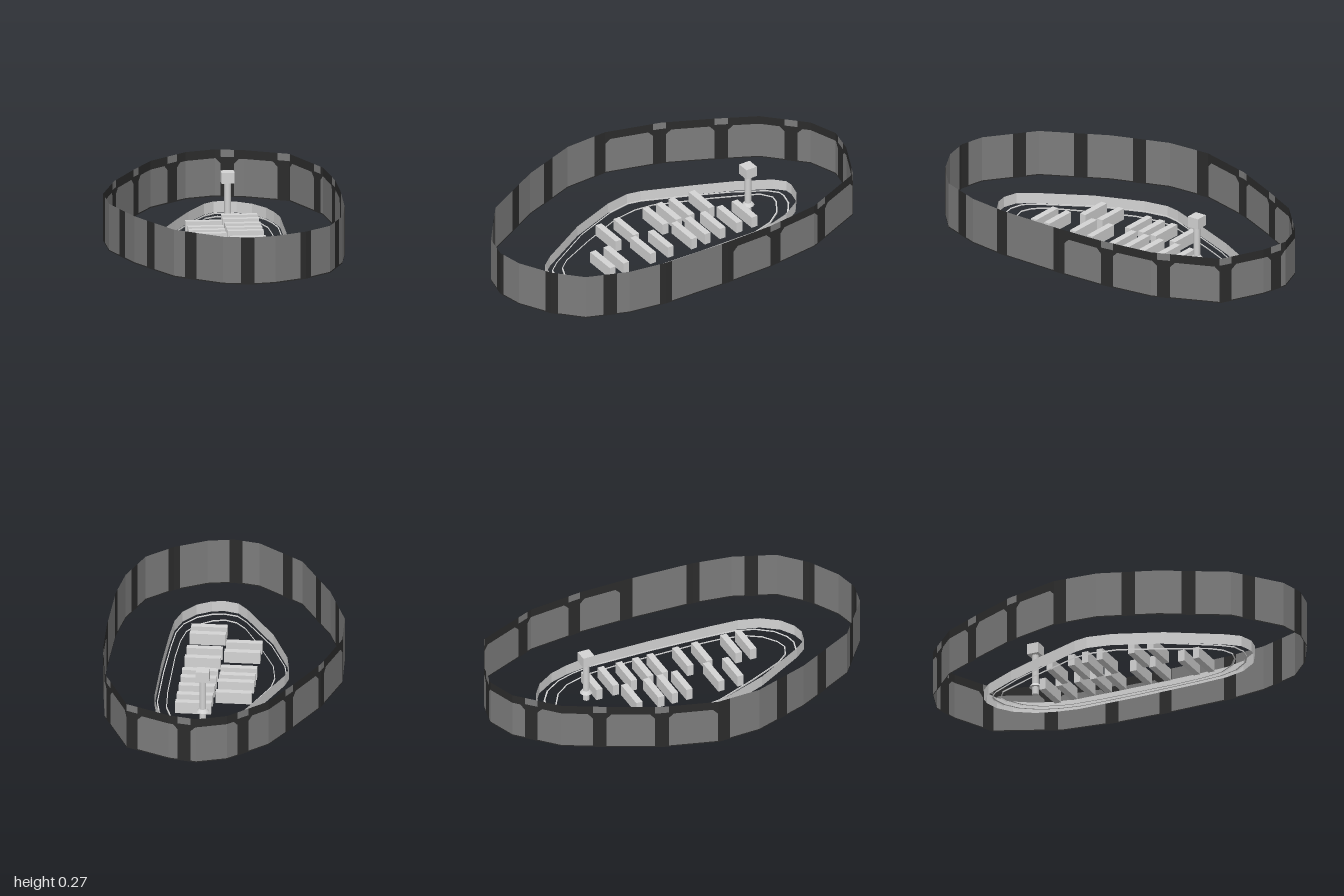
import * as THREE from 'three';

const mat = (name, color, side = THREE.FrontSide) => {
  const m = new THREE.MeshStandardMaterial({ color, side });
  m.name = name;
  return m;
};

// Plan outlines as [x, z], running front -> +x -> back -> -x
const WALL = [[0.05, 1], [0.18, 0.975], [0.34, 0.89], [0.47, 0.77], [0.55, 0.56], [0.58, 0.36], [0.59, 0],
  [0.585, -0.25], [0.55, -0.54], [0.41, -0.865], [0.19, -0.97], [0.05, -1], [-0.1, -0.95], [-0.29, -0.77],
  [-0.4, -0.56], [-0.51, -0.33], [-0.59, -0.05], [-0.58, 0.18], [-0.48, 0.47], [-0.31, 0.79], [-0.08, 0.97]];
const RIM = [[0.07, 0.68], [0.13, 0.67], [0.2, 0.63], [0.26, 0.55], [0.29, 0.45], [0.3, 0.3], [0.31, 0],
  [0.31, -0.33], [0.29, -0.44], [0.26, -0.53], [0.2, -0.62], [0.13, -0.67], [0.06, -0.688], [0.02, -0.685],
  [-0.03, -0.64], [-0.12, -0.48], [-0.2, -0.3], [-0.295, -0.07], [-0.31, 0], [-0.29, 0.12], [-0.2, 0.35],
  [-0.05, 0.6], [0, 0.66]];
const TRACK = [[0.06, 0.625], [0.12, 0.61], [0.19, 0.56], [0.24, 0.48], [0.26, 0.37], [0.27, 0.2], [0.27, -0.2],
  [0.26, -0.37], [0.22, -0.5], [0.16, -0.58], [0.08, -0.63], [0.03, -0.64], [-0.03, -0.6], [-0.13, -0.38],
  [-0.24, -0.1], [-0.25, 0], [-0.23, 0.13], [-0.14, 0.35], [-0.05, 0.54], [0, 0.6]];

// Flat-shaded ribbon between two matching lines of points, facing outward
function ribbon(low, high) {
  const pos = [];
  for (let i = 0; i < low.length - 1; i++) {
    const [a, b, c, d] = [low[i], low[i + 1], high[i + 1], high[i]];
    pos.push(...a, ...b, ...c, ...a, ...c, ...d);
  }
  const g = new THREE.BufferGeometry();
  g.setAttribute('position', new THREE.Float32BufferAttribute(pos, 3));
  g.computeVertexNormals();
  return g;
}

// Closed ribbon around an outline; each edge is [y, scaleX, scaleZ]
function hoop(outline, bottom, top) {
  const pts = [...outline, outline[0]];
  const line = ([y, sx, sz]) => pts.map(([x, z]) => [x * sx, y, z * sz]);
  return ribbon(line(bottom), line(top));
}

// Running lengths along the wall outline
const loop = [...WALL, WALL[0]];
const lengths = [0];
for (let i = 1; i < loop.length; i++) {
  lengths.push(lengths[i - 1] + Math.hypot(loop[i][0] - loop[i - 1][0], loop[i][1] - loop[i - 1][1]));
}
const TOTAL = lengths[lengths.length - 1];

function pointAt(s) {
  const t = ((s % TOTAL) + TOTAL) % TOTAL;
  let i = 0;
  while (i < loop.length - 2 && lengths[i + 1] < t) i++;
  const f = (t - lengths[i]) / (lengths[i + 1] - lengths[i]);
  return [0, 1].map(k => loop[i][k] + (loop[i + 1][k] - loop[i][k]) * f);
}

function lengthNear(x, z) {
  let best = 0, min = Infinity;
  for (let k = 0; k < 1000; k++) {
    const p = pointAt(k / 1000 * TOTAL);
    const d = Math.hypot(p[0] - x, p[1] - z);
    if (d < min) { min = d; best = k / 1000 * TOTAL; }
  }
  return best;
}

// Piece of wall from length s0 to s1; bottom and top give the height at a length
function wallPiece(s0, s1, bottom, top, extraStops = []) {
  const stops = [s0, s1, ...extraStops];
  for (const l of lengths) for (const v of [l, l + TOTAL, l - TOTAL]) if (v > s0 + 1e-4 && v < s1 - 1e-4) stops.push(v);
  stops.sort((a, b) => a - b);
  const line = height => stops.map(s => {
    const [x, z] = pointAt(s);
    return [x, height(s), z];
  });
  return ribbon(line(bottom), line(top));
}

export function createModel() {
  const root = new THREE.Group();
  root.name = 'model';
  const panelGrey = mat('panel grey', 0x7c7c7c, THREE.DoubleSide);
  const darkGrey = mat('dark grey', 0x2c2c2c, THREE.DoubleSide);
  const lightGrey = mat('light grey', 0xd4d4d4, THREE.DoubleSide);

  const add = (name, geometry, material, parent = root) => {
    const m = new THREE.Mesh(geometry, material);
    m.name = name;
    parent.add(m);
    return m;
  };

  // Surrounding wall: pillars, panels and, on the back half, a top band
  const wall = new THREE.Group();
  wall.name = 'wall';
  root.add(wall);
  const HALF = 0.034, CORNER = 0.025;
  const level = y => () => y;
  const foot = level(0.025), trim = level(0.031), notchFoot = level(0.228), top = level(0.265);
  const pillars = [[0.04, 1], [0.34, 0.89], [0.53, 0.66], [0.58, 0.36], [0.59, 0], [0.58, -0.29], [0.53, -0.6],
    [0.38, -0.87], [0.11, -0.98], [-0.17, -0.88], [-0.37, -0.6], [-0.51, -0.32], [-0.59, -0.02],
    [-0.53, 0.33], [-0.4, 0.6], [-0.23, 0.85]].map(([x, z]) => lengthNear(x, z)).map(s => s > TOTAL - 0.1 ? s - TOTAL : s);
  pillars.forEach((s, i) => {
    const next = i + 1 < pillars.length ? pillars[i + 1] : pillars[0] + TOTAL;
    const a = s + HALF, b = next - HALF;
    const banded = i >= 4 && i < 12;
    const notched = i > 4 && i < 12;
    add('pillar', wallPiece(s - HALF, a, foot, notched ? notchFoot : top), darkGrey, wall);
    if (notched) add('notch', wallPiece(s - HALF, a, notchFoot, top), panelGrey, wall);
    add('bottomTrim', wallPiece(a, b, foot, trim), darkGrey, wall);
    if (banded) {
      // The panel top is cut off at its corners and the band fills them
      const edge = v => 0.22 - Math.max(0, CORNER - Math.min(v - a, b - v));
      const corners = [a + CORNER, b - CORNER];
      add('panel', wallPiece(a, b, trim, edge, corners), panelGrey, wall);
      add('topBand', wallPiece(a, b, edge, top, corners), darkGrey, wall);
    } else {
      add('panel', wallPiece(a, b, trim, top), panelGrey, wall);
    }
  });

  // Upright rim around the middle
  add('rim', hoop(RIM, [0.006, 1.03, 1.06], [0.062, 1.03, 1.06]), lightGrey);

  // Two thin flat rings inside the rim, each with a low edge
  for (const [name, outline, y] of [['outerRing', RIM, 0.006], ['innerRing', TRACK, 0]]) {
    add(name + 'Edge', hoop(outline, [y, 1, 1], [y + 0.008, 1, 1]), lightGrey);
    add(name, hoop(outline, [y + 0.008, 1, 1], [y + 0.008, 0.982, 0.988]), lightGrey);
  }

  // Two columns of upright slabs
  const slab = new THREE.BoxGeometry(0.18, 0.06, 0.034);
  const columns = [
    [0.12, [-0.41, -0.32, -0.22, -0.13, -0.05, 0.09, 0.195, 0.355, 0.435]],
    [-0.07, [-0.28, -0.16, -0.085, -0.005, 0.17, 0.275]],
  ];
  for (const [x, rows] of columns) {
    for (const z of rows) add('slab', slab, lightGrey).position.set(x, 0.036, z);
  }

  // Post with a foot disc and a box on top
  const post = new THREE.Group();
  post.name = 'post';
  post.position.set(0.067, 0, -0.466);
  root.add(post);
  add('postHead', new THREE.BoxGeometry(0.066, 0.055, 0.062), lightGrey, post).position.y = 0.244;
  add('postShaft', new THREE.CylinderGeometry(0.017, 0.017, 0.22, 10), lightGrey, post).position.y = 0.112;
  add('postFoot', new THREE.CylinderGeometry(0.02, 0.032, 0.016, 10), lightGrey, post).position.y = 0.05;
  return root;
}
